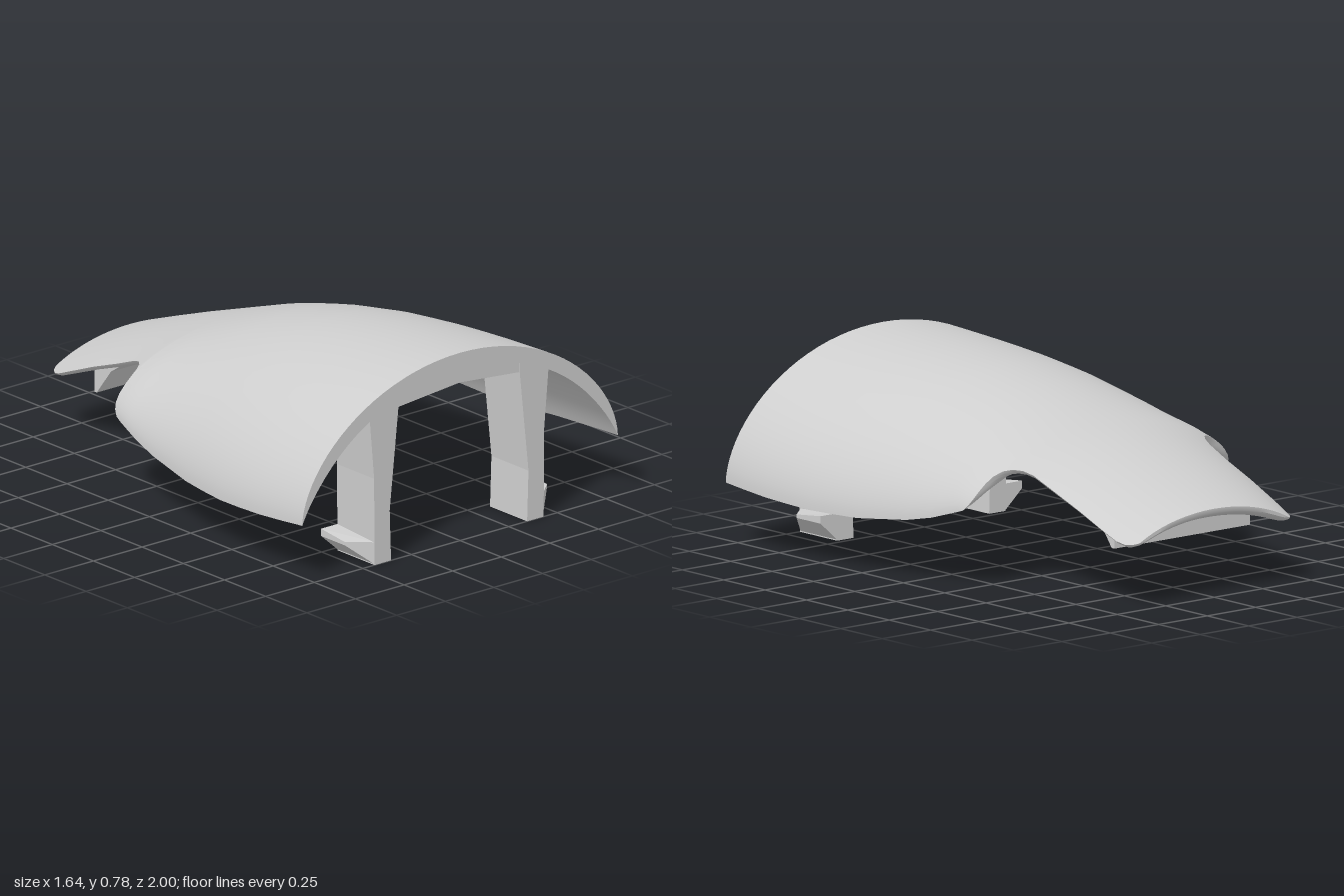
import * as THREE from 'three';
import { toCreasedNormals } from 'three/addons/utils/BufferGeometryUtils.js';

// Half width of the cover at stations from front to back
const PLAN = [
  [1, 0.812], [0.88, 0.819], [0.75, 0.822], [0.625, 0.819], [0.5, 0.81], [0.375, 0.796], [0.25, 0.776], [0.125, 0.755],
  [0, 0.734], [-0.125, 0.712], [-0.2, 0.699], [-0.25, 0.69], [-0.28, 0.682], [-0.3, 0.672], [-0.312, 0.658],
  [-0.319, 0.635], [-0.323, 0.6], [-0.328, 0.565], [-0.34, 0.527], [-0.362, 0.495], [-0.395, 0.47], [-0.44, 0.455],
  [-0.55, 0.449], [-0.7, 0.446], [-0.85, 0.442], [-0.92, 0.437], [-0.96, 0.425], [-0.985, 0.405], [-0.996, 0.39],
  [-1, 0.38],
];
// Dome the cover is cut from: [z, half width, crest height, rim height]
const DOME = [
  [1, 0.812, 0.783, 0.25], [0.75, 0.822, 0.77, 0.232], [0.5, 0.81, 0.755, 0.22], [0.25, 0.776, 0.73, 0.223],
  [0, 0.734, 0.683, 0.25], [-0.125, 0.712, 0.65, 0.276], [-0.25, 0.69, 0.612, 0.315], [-0.33, 0.67, 0.587, 0.325],
  [-0.5, 0.62, 0.532, 0.255], [-0.75, 0.56, 0.447, 0.21], [-1, 0.5, 0.355, 0.14],
];

function domeAt(z) {
  let i = 0;
  while (i < DOME.length - 2 && z < DOME[i + 1][0]) i++;
  const k = (DOME[i][0] - z) / (DOME[i][0] - DOME[i + 1][0]);
  return DOME[i].map((v, j) => v + (DOME[i + 1][j] - v) * k);
}

// Closed ring of each station: outer arc, then the inner arc back
function shellGeometry() {
  const N = 44, ring = 2 * N, pos = [], index = [];
  for (const [z, w] of PLAN) {
    const [, domeWidth, crest, rim] = domeAt(z);
    const full = z > -0.26 ? w : domeWidth;
    // thinner towards the tail, rounded off at its end
    const thick = (z < -0.3 ? 0.058 : 0.068) * Math.sqrt(Math.min(1, (z + 1.004) / 0.05));
    const outer = [];
    for (let i = 0; i <= N; i++) {
      const s = Math.sin((i / N - 0.5) * Math.PI);
      const a = Math.min(1, Math.abs(s * w / full));
      outer.push([s * w, rim + (crest - rim) * Math.pow(1 - a * a, 0.575), s]);
    }
    outer.forEach(([x, y]) => pos.push(x, y, z));
    for (let i = N - 1; i > 0; i--) {
      const [x, y, s] = outer[i], p = outer[i - 1], q = outer[i + 1];
      const dx = q[0] - p[0], dy = q[1] - p[1], l = Math.hypot(dx, dy);
      const t = thick * (1 - 0.2 * s * s) * Math.sqrt(1 - Math.pow(s, 14));
      pos.push(x + dy / l * t, y - dx / l * t, z);
    }
  }
  const last = (PLAN.length - 1) * ring;
  for (let r = 0; r < PLAN.length - 1; r++) {
    for (let i = 0; i < ring; i++) {
      const a = r * ring + i, b = r * ring + (i + 1) % ring;
      index.push(a, b, b + ring, a, b + ring, a + ring);
    }
  }
  // end faces
  for (let i = 0; i < N; i++) {
    const p = i, q = i + 1, pi = (ring - i) % ring, qi = ring - i - 1;
    index.push(p, pi, qi, p, qi, q);
    index.push(last + p, last + qi, last + pi, last + p, last + q, last + qi);
  }
  const g = new THREE.BufferGeometry();
  g.setAttribute('position', new THREE.Float32BufferAttribute(pos, 3));
  g.setIndex(index);
  return toCreasedNormals(g, 0.7);
}

function extrude(points, depth) {
  const shape = new THREE.Shape(points.map(([x, y]) => new THREE.Vector2(x, y)));
  return new THREE.ExtrudeGeometry(shape, { depth, bevelEnabled: false });
}

export function createModel() {
  const group = new THREE.Group();
  const grey = new THREE.MeshStandardMaterial({ color: 0xcecece });
  grey.name = 'light grey plastic';
  const add = (name, geometry) => {
    const mesh = new THREE.Mesh(geometry, grey);
    mesh.name = name;
    group.add(mesh);
    return mesh;
  };

  add('coverShell', shellGeometry());

  // thick arch between the legs at the front
  const arch = extrude([[-0.33, 0.628], [0, 0.658], [0.33, 0.628], [0.33, 0.69], [0, 0.735], [-0.33, 0.69]], 0.222);
  add('frontArch', arch).position.z = 0.775;

  // clip legs with outward hooks
  for (const side of [-1, 1]) {
    const name = side > 0 ? 'left' : 'right';
    const mirror = (pts) => pts.map(([x, y]) => [x * side - 0.005, y]);
    const leg = extrude(mirror([[0.35, 0], [0.435, 0], [0.437, 0.36], [0.46, 0.615], [0.455, 0.66], [0.31, 0.69],
      [0.312, 0.63], [0.357, 0.21]]), 0.225);
    add(name + 'ClipLeg', leg).position.z = 0.775;

    const hook = extrude(mirror([[0.43, 0], [0.52, 0.08], [0.52, 0.11], [0.43, 0.11]]), 0.225);
    const p = hook.attributes.position;
    for (let i = 0; i < p.count; i++) {
      if (p.getZ(i) < 0.1) continue;
      if (p.getY(i) > 0.1) p.setY(i, 0.094); // top slopes to the front
      if (Math.abs(p.getX(i)) > 0.48) p.setZ(i, 0.145); // front corner cut back
    }
    hook.computeVertexNormals();
    add(name + 'ClipHook', hook).position.z = 0.775;
  }

  // rib under the tail, blending forward into the shell
  const rib = extrude([[0.5, 0.455], [0.7, 0.32], [0.785, 0.21], [0.8, 0.21], [0.8, 0.365]], 0.7);
  rib.rotateY(Math.PI / 2);
  add('tailRib', rib).position.x = -0.355;

  return group;
}
